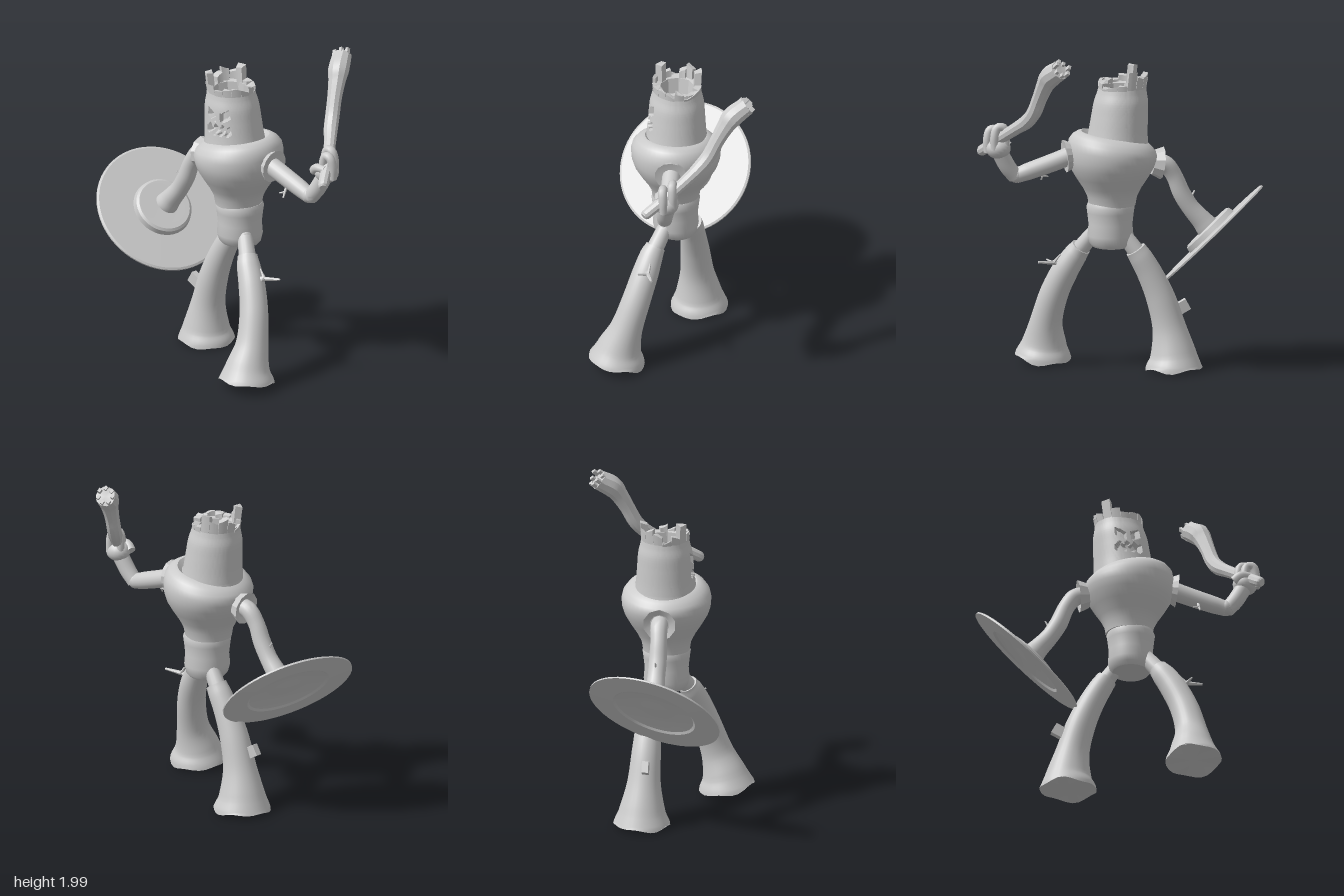
import * as THREE from 'three';
import { toCreasedNormals } from 'three/addons/utils/BufferGeometryUtils.js';

const mat = new THREE.MeshStandardMaterial({ color: 0xcccccc });
const matTwo = new THREE.MeshStandardMaterial({ color: 0xcccccc, side: THREE.DoubleSide });
const V = (x, y, z) => new THREE.Vector3(x, y, z);

function add(parent, name, geo, material = mat, crease = 0.7) {
  const mesh = new THREE.Mesh(toCreasedNormals(geo, crease), material);
  mesh.name = name;
  parent.add(mesh);
  return mesh;
}

// Round tube through [x, y, z, radius] stations, capped; jag roughens the last ring
function limb(stations, steps = 24, sides = 20, jag = 0) {
  const path = new THREE.CatmullRomCurve3(stations.map(s => V(s[0], s[1], s[2])));
  const radius = new THREE.SplineCurve(stations.map((s, i) => new THREE.Vector2(i, s[3])));
  const pos = [], index = [];
  const n = V(1, 0, 0.01);
  for (let i = 0; i <= steps; i++) {
    const u = i / steps, c = path.getPoint(u), t = path.getTangent(u), r = radius.getPoint(u).y;
    n.addScaledVector(t, -n.dot(t)).normalize();
    const b = t.clone().cross(n);
    for (let j = 0; j < sides; j++) {
      const a = j / sides * Math.PI * 2;
      const rough = i === steps ? jag * (Math.sin(a * 5) + Math.sin(a * 3 + 1)) : 0;
      const p = c.clone().addScaledVector(n, r * Math.cos(a)).addScaledVector(b, r * Math.sin(a)).addScaledVector(t, rough);
      pos.push(p.x, p.y, p.z);
      if (i < steps) {
        const k = i * sides + j, m = i * sides + (j + 1) % sides;
        index.push(k, m, m + sides, k, m + sides, k + sides);
      }
    }
  }
  const c0 = pos.length / 3, last = steps * sides;
  for (const p of [path.getPoint(0), path.getPoint(1)]) pos.push(p.x, p.y, p.z);
  for (let j = 0; j < sides; j++) {
    const k = (j + 1) % sides;
    index.push(c0, k, j, c0 + 1, last + j, last + k);
  }
  const geo = new THREE.BufferGeometry();
  geo.setAttribute('position', new THREE.Float32BufferAttribute(pos, 3));
  geo.setIndex(index);
  return geo;
}

const lathe = (profile, sides = 48) => new THREE.LatheGeometry(profile.map(p => new THREE.Vector2(...p)), sides);

// Moves every vertex by a rule
function bend(geo, rule) {
  const p = geo.attributes.position, v = V(0, 0, 0);
  for (let i = 0; i < p.count; i++) {
    v.fromBufferAttribute(p, i);
    rule(v);
    p.setXYZ(i, v.x, v.y, v.z);
  }
  return geo;
}

// Tapered straight twig between two points
const twig = (parent, a, b, r) =>
  add(parent, 'twig', limb([[...a, r], [...b, r * 0.35]], 2, 6), mat, 0.2);

function torso(g) {
  const chest = bend(lathe([[0, 1.015], [0.14, 1.015], [0.15, 1.07], [0.175, 1.12], [0.215, 1.18], [0.25, 1.24],
    [0.266, 1.29], [0.27, 1.34], [0.26, 1.38], [0.236, 1.41], [0.205, 1.432], [0.185, 1.436], [0.16, 1.41], [0, 1.41]]),
    v => { v.y += 0.17 * v.z * THREE.MathUtils.smoothstep(v.y, 1.25, 1.42); });
  add(g, 'chest', chest).position.set(-0.015, 0, 0.06);
  // Waist with a slightly tilted underside
  const waist = bend(lathe([[0, 0.765], [0.11, 0.765], [0.127, 0.785], [0.138, 0.83], [0.132, 0.9], [0.14, 0.97], [0.145, 1.005], [0.135, 1.03], [0, 1.03]]),
    v => { if (v.y < 0.8) v.y -= 0.06 * v.x; });
  add(g, 'waist', waist).position.set(-0.015, 0, 0.07);
}

function head(g) {
  const group = new THREE.Group();
  group.name = 'head';
  g.add(group);
  // Carved face on the -x side: two slanted eyes and a ragged mouth
  const carved = (s, y) => {
    const e = Math.abs(s);
    const eye = e > 0.02 && e < 0.08 && Math.abs(y - 1.61 - (e - 0.05) * 0.5) < 0.026;
    const mouth = e < 0.085 && Math.abs(y - 1.52 + 0.012 * Math.sin(s * 130)) < 0.022;
    return eye || mouth;
  };
  const lean = v => { v.x -= 0.015; v.z += 0.03 - 0.1 * Math.max(0, v.y - 1.4); };
  const outline = new THREE.SplineCurve([[0.188, 1.38], [0.178, 1.46], [0.17, 1.56], [0.163, 1.64], [0.149, 1.7], [0.141, 1.745]]
    .map(p => new THREE.Vector2(...p)));
  const shell = bend(new THREE.LatheGeometry(outline.getPoints(60), 120), v => {
    const r = Math.hypot(v.x, v.z), s = Math.atan2(v.z, -v.x) * r - 0.03;
    if (v.x < 0 && carved(s, v.y)) { v.x *= 0.78; v.z *= 0.78; }
    lean(v);
  });
  add(group, 'stump', shell, matTwo, 0.6);
  // Hollow top
  add(group, 'hollow', bend(lathe([[0.141, 1.745], [0.105, 1.735], [0.098, 1.64], [0, 1.64]], 10), lean), matTwo, 0.3);
  // Broken crown: one uneven block per slice of the rim
  const tops = [1.765, 1.755, 1.745, 1.775, 1.75, 1.76, 1.755, 1.745, 1.775, 1.855, 1.765, 1.75, 1.78, 1.815, 1.8, 1.825];
  tops.forEach((top, i) => {
    const w = Math.PI * 2 / tops.length, a = i * w + 0.01, b = a + w * 0.96;
    const shape = new THREE.Shape();
    shape.absarc(0, 0, 0.143, a, b, false);
    shape.absarc(0, 0, 0.102 + 0.012 * (i % 3), b, a, true);
    const geo = new THREE.ExtrudeGeometry(shape, { depth: top - 1.71, bevelEnabled: false, curveSegments: 3 });
    geo.rotateX(Math.PI / 2);
    bend(geo, v => {
      v.y += top;
      if (v.y > 1.715) { v.y += 0.015 * Math.sin(40 * v.x + i); v.x *= 1.04; v.z *= 1.04; }
      lean(v);
    });
    add(group, 'crownTooth', geo, mat, 0.2);
  });
}

function clubArm(g) {
  const arm = new THREE.Group();
  arm.name = 'clubArm';
  g.add(arm);
  const cuff = lathe([[0, 0], [0.075, 0], [0.1, 0.05], [0.065, 0.045], [0, 0.045]], 14);
  cuff.rotateX(Math.PI / 2 + 0.1);
  add(arm, 'shoulderCuff', cuff, mat, 0.3).position.set(-0.015, 1.325, 0.3);
  add(arm, 'upperArm', limb([[-0.015, 1.335, 0.28, 0.056], [-0.015, 1.285, 0.42, 0.055], [-0.02, 1.235, 0.57, 0.052], [-0.025, 1.21, 0.645, 0.046]], 16));
  add(arm, 'elbow', new THREE.SphereGeometry(0.048, 20, 14)).position.set(-0.025, 1.215, 0.645);
  add(arm, 'forearm', limb([[-0.025, 1.205, 0.65, 0.046], [-0.018, 1.27, 0.7, 0.05], [-0.005, 1.36, 0.75, 0.05]], 12));
  const fist = add(arm, 'fist', new THREE.SphereGeometry(0.075, 20, 14));
  fist.scale.set(0.95, 0.85, 1);
  fist.position.set(0, 1.385, 0.76);
  // Two upright fingers fold over the handle
  for (const [x, y, z] of [[-0.022, 1.41, 0.79], [0.032, 1.43, 0.757]]) {
    add(arm, 'finger', limb([[x - 0.005, y - 0.05, z - 0.035, 0.022], [x - 0.005, y + 0.03, z - 0.036, 0.026], [x, y + 0.085, z - 0.02, 0.027],
      [x, y + 0.085, z + 0.015, 0.027], [x + 0.005, y + 0.03, z + 0.034, 0.026], [x + 0.008, y - 0.05, z + 0.035, 0.023]], 20, 12));
  }
  add(arm, 'thumb', limb([[-0.035, 1.39, 0.69, 0.03], [-0.05, 1.42, 0.73, 0.028], [-0.045, 1.42, 0.79, 0.024]], 10, 10));
  twig(arm, [-0.03, 1.25, 0.47], [-0.08, 1.17, 0.48], 0.014);
  twig(arm, [-0.06, 1.2, 0.475], [-0.07, 1.19, 0.44], 0.01);

  // Crooked club with a splintered end
  const club = limb([[-0.13, 1.345, 0.85, 0.022], [-0.12, 1.352, 0.84, 0.032], [0, 1.435, 0.765, 0.034], [0.13, 1.53, 0.67, 0.038],
    [0.185, 1.575, 0.625, 0.044], [0.235, 1.635, 0.592, 0.045], [0.285, 1.735, 0.565, 0.046], [0.335, 1.825, 0.54, 0.055],
    [0.37, 1.875, 0.52, 0.066], [0.45, 1.93, 0.475, 0.06]], 36, 10, 0.006);
  add(arm, 'club', club, mat, 0.5);
  const dir = V(0.6, 0.55, -0.42).normalize(), side = V(1, -1, 0).normalize(), up = dir.clone().cross(side).normalize();
  for (let i = 0; i < 7; i++) {
    const a = i / 7 * Math.PI * 2;
    const p = V(0.445, 1.928, 0.475).addScaledVector(side, 0.045 * Math.cos(a)).addScaledVector(up, 0.045 * Math.sin(a));
    const splinter = add(arm, 'splinter', new THREE.BoxGeometry(0.024, 0.05 + 0.02 * (i % 3), 0.018), mat, 0.2);
    splinter.position.copy(p);
    splinter.quaternion.setFromUnitVectors(V(0, 1, 0), dir);
  }
}

function shieldArm(g) {
  const arm = new THREE.Group();
  arm.name = 'shieldArm';
  g.add(arm);
  const cuff = lathe([[0, 0], [0.075, 0], [0.1, 0.06], [0.06, 0.045], [0, 0.045]], 10);
  cuff.rotateX(-Math.PI / 2 - 0.12);
  add(arm, 'shoulderCuff', cuff, mat, 0.3).position.set(-0.01, 1.265, -0.185);
  add(arm, 'arm', limb([[-0.01, 1.27, -0.19, 0.05], [-0.01, 1.25, -0.265, 0.052], [-0.015, 1.18, -0.318, 0.05], [-0.015, 1.07, -0.365, 0.054],
    [-0.012, 0.98, -0.42, 0.054], [-0.01, 0.9, -0.488, 0.062], [-0.01, 0.855, -0.525, 0.072]], 30));
  twig(arm, [-0.01, 1.0, -0.4], [-0.01, 1.085, -0.445], 0.013);
  twig(arm, [-0.01, 1.04, -0.425], [-0.01, 1.085, -0.405], 0.009);
  // Round shield: +y is the outer side, dished around a low centre; the boss is on the inner side
  const profile = [[0, -0.05], [0.12, -0.055], [0.16, -0.055], [0.175, -0.045], [0.182, -0.012], [0.4, -0.01], [0.412, -0.004], [0.412, 0.006],
    [0.26, 0.012], [0.245, 0.002], [0.15, -0.015], [0.07, -0.014], [0, -0.004]];
  const shield = add(arm, 'shield', lathe(profile, 64), matTwo, 0.35);
  shield.position.set(-0.02, 0.815, -0.56);
  shield.quaternion.setFromUnitVectors(V(0, 1, 0), V(0.24, -0.71, -0.66).normalize());
}

function legs(g) {
  const data = {
    frontLeg: [[-0.12, 0.745, 0.228, 0.06], [-0.142, 0.7, 0.255, 0.07], [-0.175, 0.6, 0.312, 0.08], [-0.222, 0.45, 0.372, 0.086],
      [-0.278, 0.27, 0.408, 0.098], [-0.322, 0.13, 0.412, 0.136], [-0.336, 0.052, 0.416, 0.17]],
    backLeg: [[0.062, 0.75, -0.068, 0.064], [0.065, 0.7, -0.1, 0.07], [0.067, 0.6, -0.155, 0.077], [0.072, 0.45, -0.22, 0.088],
      [0.08, 0.27, -0.27, 0.102], [0.088, 0.1, -0.295, 0.142], [0.09, 0.023, -0.297, 0.172]],
  };
  const hips = { frontLeg: [[-0.07, 0.84, 0.16], [-0.13, 0.72, 0.24]], backLeg: [[0.035, 0.84, 0.0], [0.065, 0.7, -0.1]] };
  for (const name in data) {
    const leg = new THREE.Group();
    leg.name = name;
    g.add(leg);
    add(leg, 'trunk', limb(data[name], 36, 28, 0.007), mat, 0.7);
    const [a, b] = hips[name];
    add(leg, 'hip', limb([[...a, 0.045], [...b, 0.052]], 4, 16));
    add(leg, 'hipBall', new THREE.SphereGeometry(0.046, 18, 12)).position.set(...a);
  }
  // Twigs and a bark chip
  twig(g, [-0.17, 0.64, 0.33], [-0.12, 0.66, 0.49], 0.02);
  twig(g, [-0.155, 0.645, 0.39], [-0.21, 0.66, 0.42], 0.013);
  twig(g, [-0.15, 0.65, 0.39], [-0.14, 0.7, 0.35], 0.012);
  const chip = add(g, 'barkChip', new THREE.BoxGeometry(0.04, 0.07, 0.12), mat, 0.2);
  chip.position.set(0.06, 0.38, -0.335);
  chip.rotation.x = 0.5;
}

export function createModel() {
  const g = new THREE.Group();
  g.name = 'stumpWarrior';
  for (const build of [torso, head, clubArm, shieldArm, legs]) build(g);
  return g;
}
